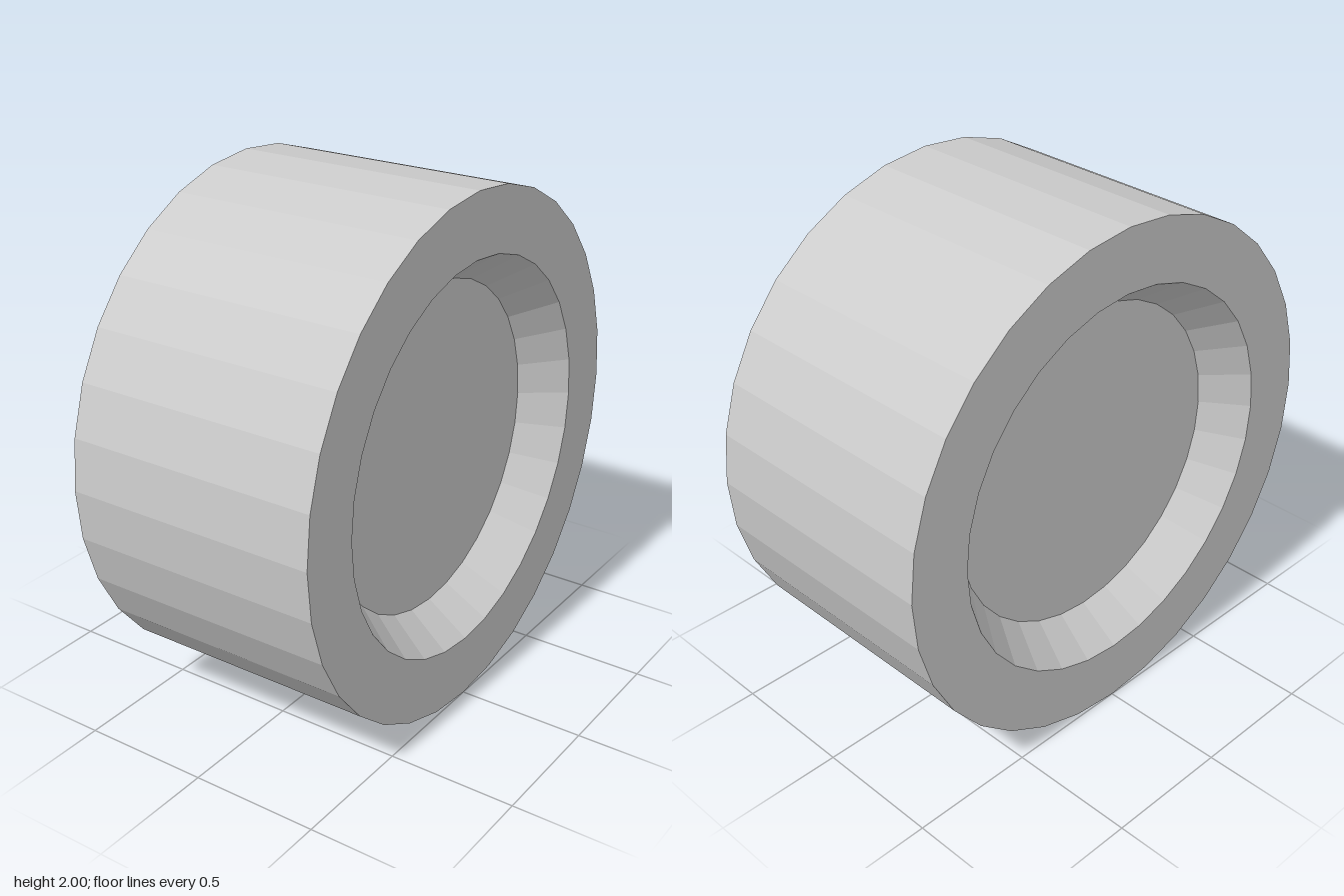
import * as THREE from 'three';

export function createModel() {
  const group = new THREE.Group();
  group.name = 'wheel';

  const sides = 32;
  const halfWidth = 0.5;
  const floorX = 0.335; // distance of each recessed hub face from the middle
  const hubRadius = 0.637;
  const rimRadius = 0.755;

  // Half cross-section: hub face, sloped recess wall, sidewall, tread, mirrored on the other side
  const profile = [
    [0, -floorX], [hubRadius, -floorX], [rimRadius, -halfWidth], [1, -halfWidth],
    [1, halfWidth], [rimRadius, halfWidth], [hubRadius, floorX], [0, floorX],
  ].map(([r, a]) => new THREE.Vector2(r, a));

  const geometry = new THREE.LatheGeometry(profile, sides).toNonIndexed();
  geometry.computeVertexNormals();
  geometry.rotateZ(-Math.PI / 2); // axle along x
  geometry.translate(0, 1, 0);

  const material = new THREE.MeshStandardMaterial({ color: 0xcccccc, flatShading: true });
  const wheel = new THREE.Mesh(geometry, material);
  wheel.name = 'tyreAndHub';
  group.add(wheel);
  return group;
}
